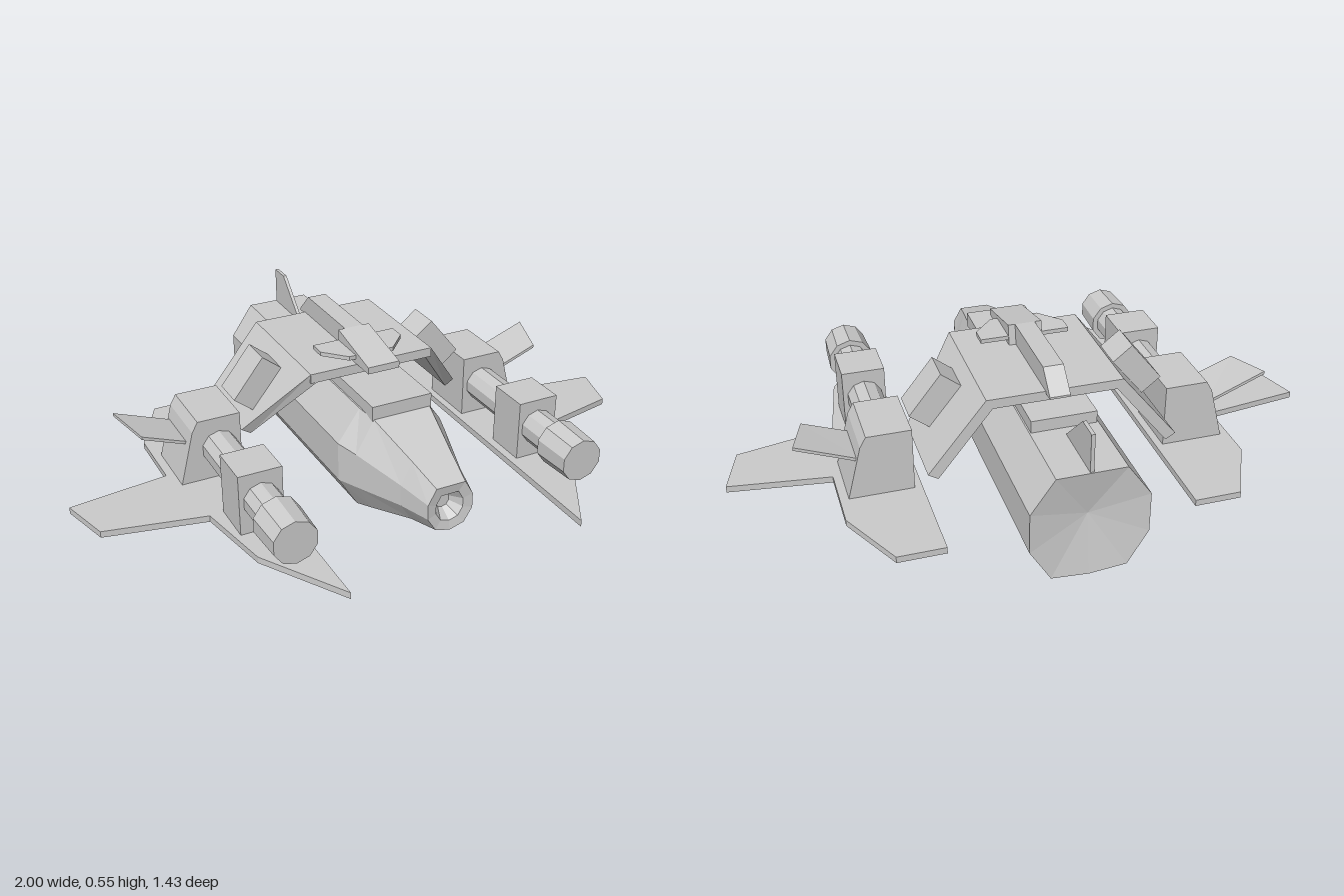
import * as THREE from 'three';

const material = new THREE.MeshStandardMaterial({ color: 0xcccccc, flatShading: true });

// Joins rings of [x, y, z] points, counter-clockwise seen from the last ring.
function loft(rings, capped = true) {
  const out = [];
  const tri = (a, b, c) => out.push(...a, ...b, ...c);
  const n = rings[0].length;
  for (let r = 0; r < rings.length - 1; r++) {
    const a = rings[r], b = rings[r + 1];
    for (let i = 0; i < n; i++) {
      const j = (i + 1) % n;
      tri(a[i], a[j], b[j]);
      tri(a[i], b[j], b[i]);
    }
  }
  if (capped) {
    const first = rings[0], last = rings[rings.length - 1];
    for (let i = 1; i < n - 1; i++) {
      tri(first[0], first[i + 1], first[i]);
      tri(last[0], last[i], last[i + 1]);
    }
  }
  const g = new THREE.BufferGeometry();
  g.setAttribute('position', new THREE.Float32BufferAttribute(out, 3));
  return g;
}

function extrude(points, depth) {
  const shape = new THREE.Shape(points.map(([x, y]) => new THREE.Vector2(x, y)));
  return new THREE.ExtrudeGeometry(shape, { depth, bevelEnabled: false });
}
// Outline given as [z, y], centred across x.
const sideProfile = (points, width) => extrude(points, width).rotateY(-Math.PI / 2).translate(width / 2, 0, 0);
// Outline given as [x, z], raised from y by a thickness.
const planProfile = (points, y, t) => extrude(points.map(([x, z]) => [x, -z]), t).rotateX(-Math.PI / 2).translate(0, y, 0);
// Box from its limits.
const box = (x0, x1, y0, y1, z0, z1) =>
  new THREE.BoxGeometry(x1 - x0, y1 - y0, z1 - z0).translate((x0 + x1) / 2, (y0 + y1) / 2, (z0 + z1) / 2);
// Cylinder lying along z.
const barrel = (rFront, rBack, z0, z1, sides) =>
  new THREE.CylinderGeometry(rFront, rBack, z1 - z0, sides).rotateX(Math.PI / 2).translate(0.5, 0.237, (z0 + z1) / 2);

function mirror(geometry) {
  const g = geometry.index ? geometry.toNonIndexed() : geometry.clone();
  g.scale(-1, 1, 1);
  const p = g.attributes.position;
  const a = new THREE.Vector3(), b = new THREE.Vector3();
  for (let i = 0; i < p.count; i += 3) {
    a.fromBufferAttribute(p, i + 1);
    b.fromBufferAttribute(p, i + 2);
    p.setXYZ(i + 1, b.x, b.y, b.z);
    p.setXYZ(i + 2, a.x, a.y, a.z);
  }
  return g;
}

export function createModel() {
  const model = new THREE.Group();
  const add = (name, geometry) => {
    const g = geometry.index ? geometry.toNonIndexed() : geometry;
    g.computeVertexNormals();
    const mesh = new THREE.Mesh(g, material);
    mesh.name = name;
    model.add(mesh);
  };
  const addPair = (name, geometry) => {
    add(name + 'Left', geometry);
    add(name + 'Right', mirror(geometry));
  };

  // Nine-sided hull section: bottom keel point, then half profile mirrored
  const section = (z, half) => [
    ...half.map(([x, y]) => [x, y, z]),
    ...half.slice(1).reverse().map(([x, y]) => [-x, y, z]),
  ];
  const rim = [[0, 0.14], [0.05, 0.155], [0.078, 0.2], [0.078, 0.25], [0.05, 0.3]];
  const shrink = (k) => rim.map(([x, y]) => [x * k, 0.22 + (y - 0.22) * k]);
  const point = (y) => Array(5).fill([0, y]);

  // Hull with a dished stern and a hollow nose
  add('fuselage', loft([
    section(-0.69, point(0.24)),
    section(-0.72, [[0, 0.035], [0.12, 0.045], [0.187, 0.155], [0.187, 0.29], [0.11, 0.4]]),
    section(0.19, [[0, 0.003], [0.12, 0.045], [0.187, 0.155], [0.187, 0.29], [0.11, 0.4]]),
    section(0.27, [[0, 0.035], [0.106, 0.07], [0.163, 0.165], [0.163, 0.285], [0.1, 0.395]]),
    section(0.46, [[0, 0.108], [0.066, 0.128], [0.106, 0.19], [0.106, 0.262], [0.068, 0.337]]),
    section(0.58, rim),
    section(0.575, shrink(0.6)),
    section(0.53, shrink(0.3)),
    section(0.53, point(0.22)),
  ], false));

  // Spine and tail
  add('spine', box(-0.105, 0.105, 0.39, 0.44, -0.47, 0.27));
  add('spineRiser', box(-0.09, 0.09, 0.43, 0.46, -0.36, 0.03));
  add('tailFin', sideProfile([[-0.5, 0.395], [-0.715, 0.395], [-0.715, 0.527], [-0.64, 0.527]], 0.012));

  // Roof plate with its sloping side panels
  add('roofPlate', box(-0.22, 0.22, 0.455, 0.487, -0.39, 0.065));
  addPair('sidePanel', loft([
    [[0.2, 0.455, 0.065], [0.2, 0.455, -0.39], [0.22, 0.487, -0.39], [0.22, 0.487, 0.065]],
    [[0.375, 0.235, -0.09], [0.375, 0.235, -0.39], [0.407, 0.255, -0.39], [0.407, 0.255, -0.09]],
  ]));
  addPair('panelBlock', new THREE.BoxGeometry(0.17, 0.115, 0.115)
    .rotateZ(-0.9).translate(0.325, 0.395, -0.158));

  // Roof turret
  add('turretHead', sideProfile([[0.145, 0.487], [0.145, 0.51], [-0.07, 0.555], [-0.08, 0.487]], 0.112));
  add('turretRidge', sideProfile([[-0.07, 0.48], [-0.07, 0.555], [-0.36, 0.555], [-0.43, 0.487], [-0.43, 0.48]], 0.066));
  add('turretVane', planProfile([
    [-0.148, -0.072], [0.148, -0.072], [0.148, -0.015], [0.08, 0.058], [-0.08, 0.058], [-0.148, -0.015],
  ], 0.503, 0.014));

  // Flat lower wings
  addPair('wing', planProfile([
    [0.4, 0.71], [0.57, 0.43], [0.62, 0.16], [0.95, 0.09], [1.0, -0.085],
    [0.665, -0.13], [0.665, -0.37], [0.555, -0.59], [0.4, -0.59],
  ], 0.106, 0.022));

  // Wing housing and its upswept fin
  addPair('housing', extrude([
    [0.425, 0.127], [0.637, 0.127], [0.59, 0.31], [0.57, 0.345], [0.425, 0.345],
  ], 0.215).translate(0, 0, -0.265));
  const finRing = (dy) => [
    [0.58, 0.246 + dy, -0.25], [0.58, 0.246 + dy, -0.085], [0.745, 0.308 + dy, -0.085], [0.79, 0.327 + dy, -0.245],
  ];
  addPair('sideFin', loft([finRing(0), finRing(0.011)]));

  // Cannon
  addPair('cannonBarrel', barrel(0.06, 0.06, -0.06, 0.43, 10));
  addPair('cannonMount', box(0.428, 0.573, 0.127, 0.335, 0.155, 0.303));
  addPair('cannonMuzzle', barrel(0.073, 0.079, 0.42, 0.558, 10));

  return model;
}
